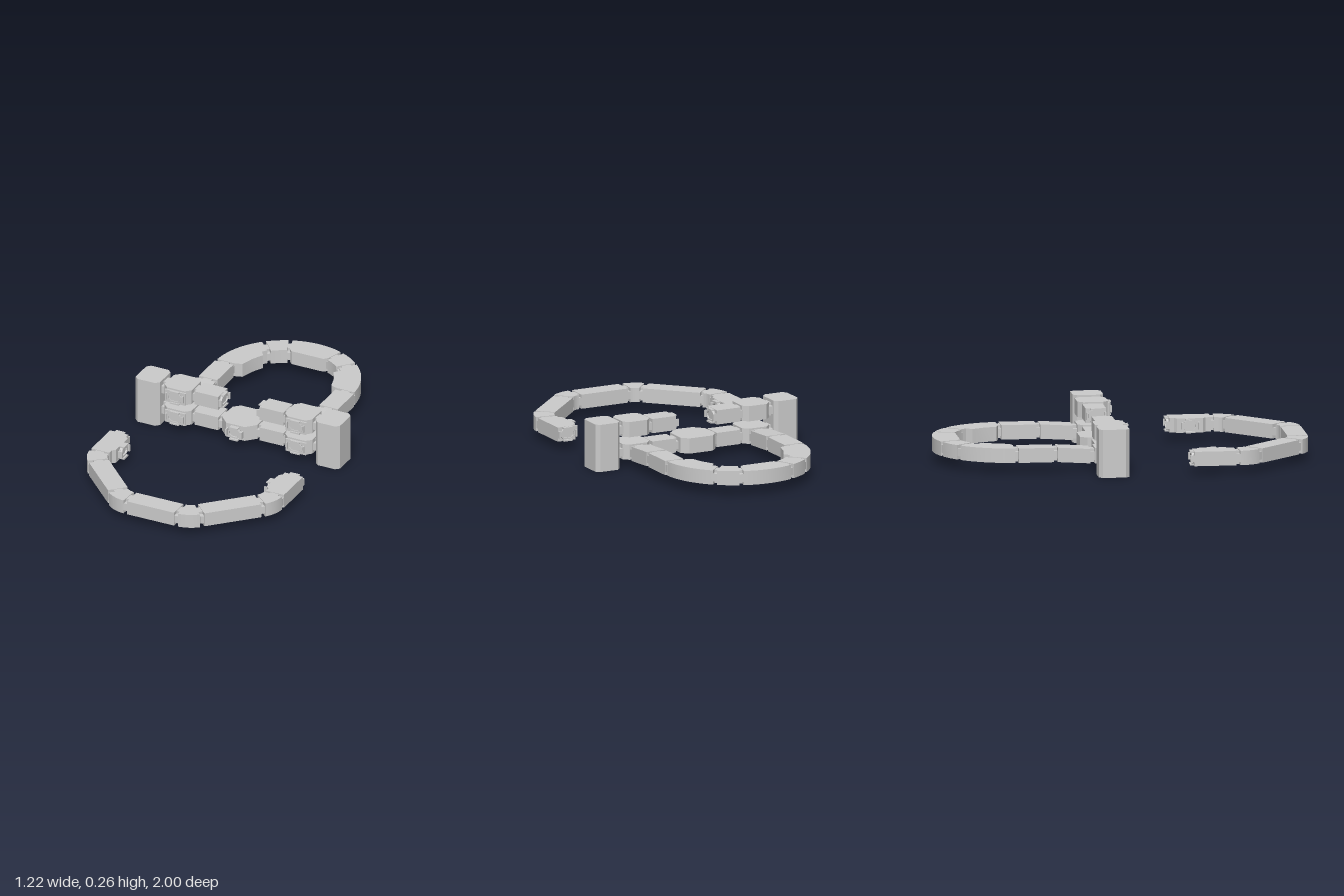
import * as THREE from 'three';
import { toCreasedNormals } from 'three/addons/utils/BufferGeometryUtils.js';

const grey = new THREE.MeshStandardMaterial({ color: 0xcccccc });
const H = 0.078, W = 0.11, LOW = 0.046, HIGH = 0.17, RING = 0.057; // corridor size and floor heights
const ROW = -0.105, HUB = 0.36, RC = -0.59;                        // hub row z, hub x, ring centre z
const D = Math.PI / 180;

const toShape = (pts) => new THREE.Shape(pts.map(([x, z]) => new THREE.Vector2(x, z)));

// Outline of a rectangle with cut corners, centred on (x, z)
function octagon(x, z, w, d, c) {
  const a = w / 2, b = d / 2;
  return [[a, c - b], [a, b - c], [a - c, b], [c - a, b], [-a, b - c], [-a, c - b], [c - a, -b], [a - c, -b]]
    .map(([u, v]) => [u + x, v + z]);
}

// Points of an arc in plan, angles in degrees
function arc(cx, cz, r, a0, a1, n = 12) {
  return Array.from({ length: n + 1 }, (_, i) => {
    const a = (a0 + (a1 - a0) * i / n) * D;
    return [cx + r * Math.cos(a), cz + r * Math.sin(a)];
  });
}

// Straight corridor outline between two plan points, leaving a joint gap at each end
function straight([x0, z0], [x1, z1], w = W, gap = 0.01) {
  const l = Math.hypot(x1 - x0, z1 - z0), ux = (x1 - x0) / l, uz = (z1 - z0) / l;
  const at = (s, o) => [x0 + ux * s - uz * o, z0 + uz * s + ux * o];
  return [at(gap, -w / 2), at(l - gap, -w / 2), at(l - gap, w / 2), at(gap, w / 2)];
}

export function createModel() {
  const model = new THREE.Group();

  // Raise a plan outline into a solid
  function solid(name, pts, y, h = H) {
    const g = new THREE.ExtrudeGeometry(toShape(pts), { depth: h, bevelEnabled: false });
    g.rotateX(Math.PI / 2).translate(0, y + h, 0);
    const mesh = new THREE.Mesh(toCreasedNormals(g, 0.4), grey);
    mesh.name = name;
    model.add(mesh);
    return mesh;
  }

  function box(parent, w, h, d, x = 0, y = 0, z = 0) {
    const m = new THREE.Mesh(new THREE.BoxGeometry(w, h, d), grey);
    m.position.set(x, y, z);
    parent.add(m);
  }

  function placed(name, x, y, z, deg) {
    const g = new THREE.Group();
    g.name = name;
    g.position.set(x, y + H / 2, z);
    g.rotation.y = deg * D;
    model.add(g);
    return g;
  }

  // Cross-shaped neck joining two modules: the corners stay notched
  function joint(x, y, z, deg, len = 0.024) {
    const g = placed('joint', x, y, z, deg);
    box(g, len, H - 0.006, 0.05);
    box(g, len, 0.042, W - 0.006);
  }

  // Docking port: four latch tabs around an eight-sided door
  function port(x, y, z, deg, w = W, len = 0.02) {
    const g = placed('dockingPort', x, y, z, deg);
    for (const s of [-1, 1]) {
      box(g, len, 0.008, w * 0.5, len / 2, s * (H / 2 - 0.005), 0);
      box(g, len, H * 0.5, 0.008, len / 2, 0, s * (w / 2 - 0.005));
    }
    const frame = toShape(octagon(0, 0, w - 0.026, H - 0.022, 0.018));
    frame.holes.push(new THREE.Path(toShape(octagon(0, 0, w - 0.042, H - 0.038, 0.013)).getPoints()));
    const door = new THREE.Mesh(
      new THREE.ExtrudeGeometry(frame, { depth: len * 0.65, bevelEnabled: false }).rotateY(Math.PI / 2), grey);
    door.name = 'doorFrame';
    g.add(door);
    box(g, len * 0.3, H - 0.036, w - 0.04, len * 0.15);
  }

  // Central hub with its front port
  solid('centralHub', [[-0.07, -0.215], [0.07, -0.215], [0.105, -0.18], [0.105, -0.06],
    [0.055, -0.008], [-0.055, -0.008], [-0.105, -0.06], [-0.105, -0.18]], LOW, 0.084);
  port(0, LOW, -0.008, -90, 0.1, 0.026);

  for (const s of [1, -1]) {
    const m = (pts) => pts.map(([x, z]) => [s * x, z]);
    const ang = (deg) => (s > 0 ? deg : 180 - deg);

    // End tower
    solid('tower', m(octagon(0.5375, -0.1, 0.145, 0.164, 0.02)), 0, 0.26);

    // Two storeys of side hub and inner corridor
    for (const y of [LOW, HIGH]) {
      solid('sideHub', m(octagon(HUB, -0.0985, 0.162, 0.165, 0.028)), y, 0.084);
      solid('sideHubFrontCollar', m(octagon(HUB, -0.012, 0.125, 0.012, 0.004)), y + 0.003, H - 0.006);
      port(s * HUB, y, -0.008, -90, W, 0.013);
      joint(s * 0.455, y, ROW, 0, 0.034);
      joint(s * 0.273, y, ROW, 0, 0.03);
      solid('innerCorridor', m(straight([0.114, ROW], [0.275, ROW])), y);
    }
    joint(s * 0.114, LOW, ROW, 0, 0.024);
    port(s * 0.124, HIGH, ROW, ang(180));

    // Sloping corridor rising to the ring
    joint(s * HUB, LOW, -0.19, 90, 0.036);
    const ramp = solid('rampCorridor', m(straight([HUB, -0.195], [HUB, -0.39])), LOW);
    const p = ramp.geometry.attributes.position;
    for (let i = 0; i < p.count; i++) {
      p.setY(i, p.getY(i) + (RING - LOW) * (-0.205 - p.getZ(i)) / 0.175);
    }
    ramp.geometry = toCreasedNormals(ramp.geometry, 0.4);
    joint(s * HUB, RING, -0.39, 90);
    solid('ringLeg', m(straight([HUB, -0.39], [HUB, -0.6])), RING);
    joint(s * HUB, RING, -0.6, 90);

    // Curved ring room with a bulging inner wall, then a short curved corridor
    solid('ringRoom', m([...arc(0, RC, 0.41, -2.5, -46.5, 16),
      [0.215, -0.815], [0.234, -0.79], [0.21, -0.757], [0.243, -0.695], [0.265, -0.62], [0.305, -0.608]]), RING);
    solid('ringCorridor', m([...arc(0, RC, 0.41, -49.5, -66.5, 8), ...arc(0, RC, 0.3, -66.5, -49.5, 8)]), RING);
    for (const t of [48, 68]) {
      joint(s * 0.355 * Math.cos(t * D), RING, RC - 0.355 * Math.sin(t * D), ang(t + 90));
    }

    // Detached front arm: end hub with ports, bend, diagonal, bend
    solid('armEndHub', m([[0.467, 0.335], [0.575, 0.335], [0.575, 0.56], [0.467, 0.56],
      [0.467, 0.53], [0.45, 0.515], [0.45, 0.375], [0.467, 0.36]]), LOW);
    port(s * 0.521, LOW, 0.335, 90);
    port(s * 0.45, LOW, 0.445, ang(180), 0.1, 0.026);
    joint(s * 0.52, LOW, 0.57, 90);
    solid('armOuterBend', m([...arc(0.39, 0.57, 0.185, 4, 41), ...arc(0.39, 0.57, 0.075, 41, 4)]), LOW);
    joint(s * 0.482, LOW, 0.662, ang(45 + 180));
    solid('armDiagonal', m(straight([0.482, 0.662], [0.242, 0.902])), LOW);
    joint(s * 0.242, LOW, 0.902, ang(45 + 180));
    solid('armInnerBend', m([...arc(0.15, 0.815, 0.185, 49, 86), ...arc(0.15, 0.815, 0.075, 86, 49)]), LOW);
    joint(s * 0.15, LOW, 0.945, 0);
  }

  // Ring crown at the back and the middle corridor of the arm
  solid('ringCrown', [...arc(0, RC, 0.41, -69.5, -110.5, 20),
    [-0.115, -0.885], [-0.095, -0.864], [0.095, -0.864], [0.115, -0.885]], RING);
  solid('armMiddle', straight([-0.15, 0.945], [0.15, 0.945]), LOW);

  return model;
}
